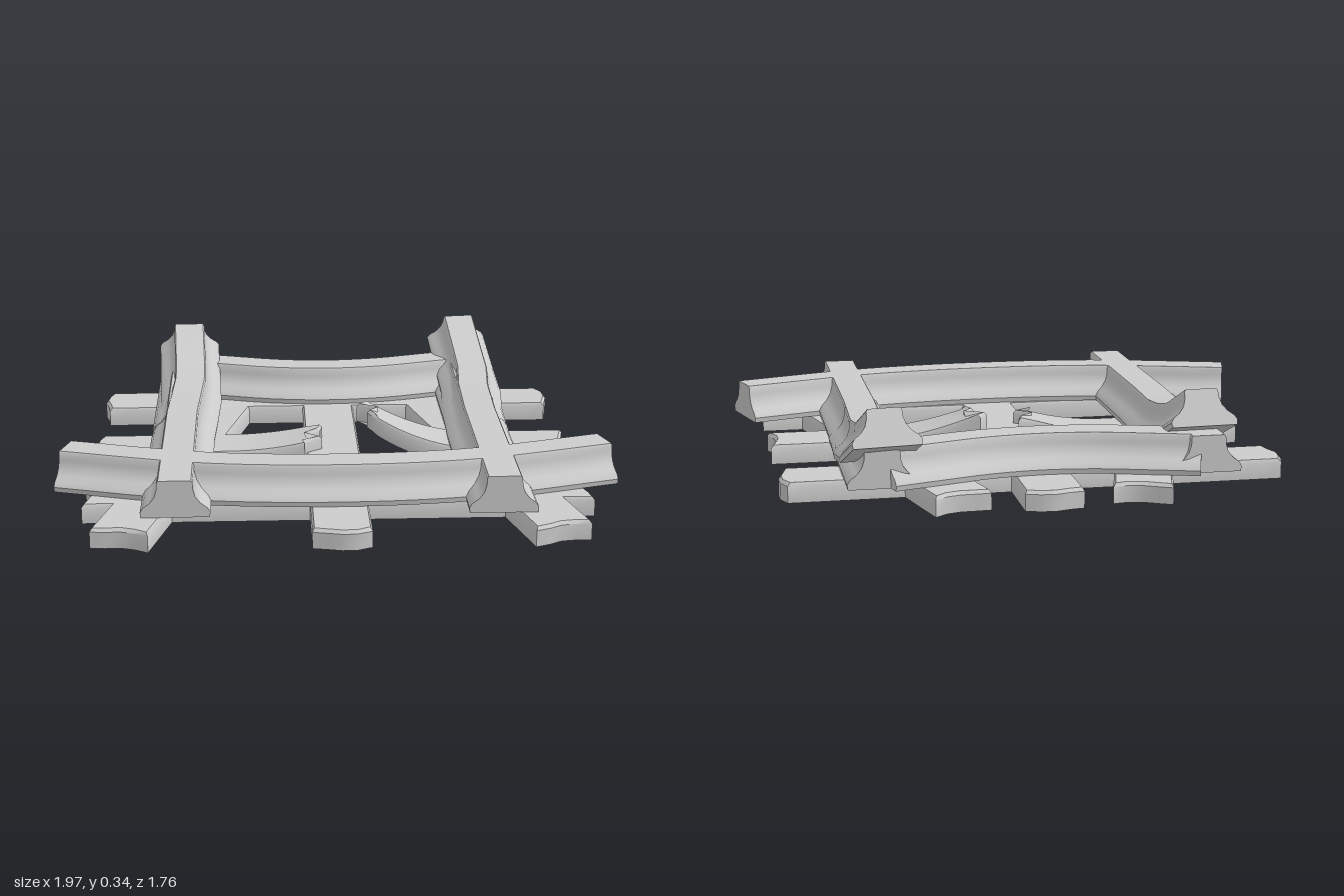
import * as THREE from 'three';
import { toCreasedNormals } from 'three/addons/utils/BufferGeometryUtils.js';

const material = new THREE.MeshStandardMaterial({ color: 0xcccccc });
const PLANK_H = 0.07;

// Rail cross-section: wide foot, concave sides, flat top (counter-clockwise)
const half = [[0.115, 0], [0.118, 0.018], [0.108, 0.034], [0.086, 0.05], [0.069, 0.072], [0.061, 0.098], [0.06, 0.122], [0.055, 0.13]];
const profile = [...half, ...half.map(([u, v]) => [-u, v]).reverse()].map(([u, v]) => new THREE.Vector2(u, v));

function mesh(name, geometry) {
  const m = new THREE.Mesh(toCreasedNormals(geometry, 0.6), material);
  m.name = name;
  return m;
}

// Sweeps the rail section along a list of points, keeping it upright
function rail(name, points) {
  const pos = [], idx = [], n = profile.length, last = points.length - 1;
  const up = new THREE.Vector3(0, 1, 0);
  points.forEach((p, i) => {
    const before = points[Math.max(i - 1, 0)], after = points[Math.min(i + 1, last)];
    const t = after.clone().sub(p).normalize().add(p.clone().sub(before).normalize()).normalize();
    const side = t.clone().cross(up).normalize();
    const top = side.clone().cross(t);
    for (const q of profile) {
      const v = p.clone().addScaledVector(side, q.x).addScaledVector(top, q.y);
      pos.push(v.x, v.y, v.z);
    }
    if (i === last) return;
    for (let j = 0; j < n; j++) {
      const a = i * n + j, b = i * n + (j + 1) % n;
      idx.push(a, a + n, b + n, a, b + n, b);
    }
  });
  for (const [a, b, c] of THREE.ShapeUtils.triangulateShape(profile, [])) {
    idx.push(a, b, c, last * n + a, last * n + c, last * n + b);
  }
  const g = new THREE.BufferGeometry();
  g.setAttribute('position', new THREE.Float32BufferAttribute(pos, 3));
  g.setIndex(idx);
  return mesh(name, g);
}

// Plank between two floor points [x, z]; the jag lists roughen each end,
// warp(v, s) bends it, s running from 0 at the start to 1 at the end
function plank(name, a, b, jagA, jagB, warp) {
  const dx = b[0] - a[0], dz = b[1] - a[1], L = Math.hypot(dx, dz);
  const g = new THREE.BoxGeometry(L, PLANK_H, 0.2, 20, 2, 4);
  const p = g.attributes.position, v = new THREE.Vector3();
  for (let i = 0; i < p.count; i++) {
    v.fromBufferAttribute(p, i);
    const s = v.x / L + 0.5, row = Math.round(v.z / 0.05) + 2;
    const isTop = v.y > 0.01;
    if (Math.abs(v.y) < 0.01) v.y = PLANK_H / 2 - 0.012;
    if (s < 0.001) v.x += jagA[row] + (isTop ? 0.01 : 0);
    if (s > 0.999) v.x += jagB[row] - (isTop ? 0.01 : 0);
    if (isTop && row % 4 === 0) v.z *= 0.93;
    v.y += PLANK_H / 2;
    if (warp) warp(v, s);
    p.setXYZ(i, v.x, v.y, v.z);
  }
  g.rotateY(-Math.atan2(dz, dx));
  g.translate((a[0] + b[0]) / 2, 0, (a[1] + b[1]) / 2);
  return mesh(name, g);
}

const V = (x, y, z) => new THREE.Vector3(x, y, z);
const smoothPath = (pts, n) => new THREE.CatmullRomCurve3(pts).getPoints(n);

export function createModel() {
  const model = new THREE.Group();
  model.name = 'brokenTrack';
  const jag1 = [0.01, -0.005, -0.01, 0.005, 0.012];
  const jag2 = [-0.012, 0.01, 0.012, 0, -0.01];

  // Lengthwise planks: straight middle one and two splayed ones
  model.add(plank('middlePlank', [0, -0.87], [0, 0.87], jag1, jag2));
  for (const s of [-1, 1]) {
    model.add(plank('splayedPlank', [s * 0.305, -0.84], [s * 0.735, 0.84], jag2, jag1));
  }

  // Crosswise planks
  model.add(plank('backCrossPlank', [-0.87, -0.52], [0.87, -0.52], jag1, jag2));
  model.add(plank('frontCrossPlank', [-0.87, 0.51], [0.87, 0.51], jag2, jag1));

  // Middle cross plank, snapped in two with curled ends
  model.add(plank('brokenPlankRight', [-0.87, 0], [-0.06, 0], jag1, [0.025, 0.015, -0.035, 0.02, -0.045], (v, s) => {
    const k = Math.max(0, (s - 0.6) / 0.4) ** 2;
    v.z = v.z * (1 - 0.1 * k) + 0.035 * k;
    v.y += 0.05 * k;
  }));
  model.add(plank('brokenPlankLeft', [0.87, 0], [0.14, 0], jag2, [-0.01, 0.005, -0.03, 0.04, 0.01], (v, s) => {
    const k = Math.max(0, (s - 0.45) / 0.55) ** 2;
    v.z = v.z * (1 - 0.25 * k) + 0.105 * k;
    v.y += 0.1 * k;
  }));

  // Long rails: flat length, with the top peeled upwards at the back
  const y = PLANK_H;
  model.add(rail('bentRailRight', [
    V(-0.555, y, 0.74), V(-0.555, y, 0), V(-0.545, y + 0.003, -0.2), V(-0.535, 0.095, -0.36),
    V(-0.54, 0.125, -0.5), V(-0.55, 0.225, -0.72)]));
  model.add(rail('bentRailLeft', [
    V(0.55, y, 0.74), V(0.55, y, 0), V(0.558, y + 0.003, -0.28), V(0.57, 0.1, -0.44),
    V(0.565, 0.128, -0.6), V(0.542, 0.225, -0.805)]));
  for (const s of [-1, 1]) {
    model.add(rail('flatRailEnd', [V(s * 0.555, y, -0.1), V(s * 0.555, y, -0.75)]));
  }

  // Bowed cross rails
  model.add(rail('backCrossRail', smoothPath([
    V(-0.55, y, -0.68), V(-0.4, y, -0.635), V(-0.2, y, -0.58), V(0, y, -0.56),
    V(0.2, y, -0.58), V(0.4, y, -0.635), V(0.55, y, -0.68)], 18)));
  model.add(rail('frontCrossRail', smoothPath([
    V(-0.95, y, 0.375), V(-0.5, y, 0.505), V(-0.25, y, 0.54), V(0, y, 0.55),
    V(0.25, y, 0.54), V(0.5, y, 0.505), V(0.95, y, 0.375)], 24)));
  return model;
}
